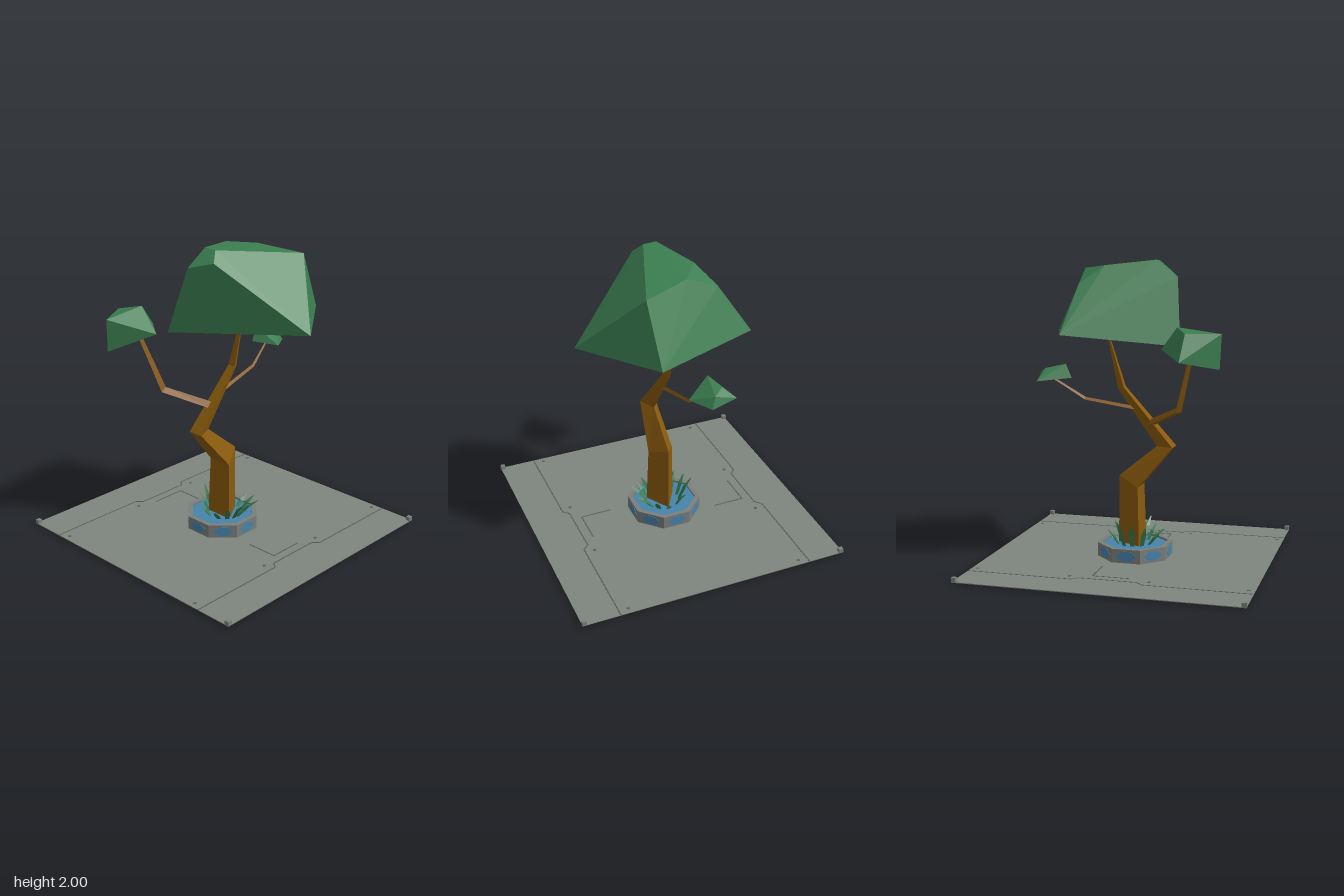
import * as THREE from 'three';
import { ConvexGeometry } from 'three/addons/geometries/ConvexGeometry.js';

const V = (x, y, z) => new THREE.Vector3(x, y, z);
const mat = (name, color) => {
  const m = new THREE.MeshStandardMaterial({ color, flatShading: true });
  m.name = name;
  return m;
};

// Closed skin over three-sided rings, each ordered counter-clockwise around the direction of travel
function loft(rings) {
  const pos = [], idx = [], last = (rings.length - 1) * 3;
  rings.forEach(r => r.forEach(p => pos.push(p.x, p.y, p.z)));
  for (let k = 0; k < last; k += 3) {
    for (let i = 0; i < 3; i++) {
      const j = (i + 1) % 3;
      idx.push(k + i, k + j, k + 3 + j, k + i, k + 3 + j, k + 3 + i);
    }
  }
  idx.push(0, 2, 1, last, last + 1, last + 2);
  const g = new THREE.BufferGeometry();
  g.setAttribute('position', new THREE.Float32BufferAttribute(pos, 3));
  g.setIndex(idx);
  const flat = g.toNonIndexed();
  flat.computeVertexNormals();
  return flat;
}

// Tapering three-sided limb along a path; flat squashes its thickness
function limb(points, radii, flat = 1) {
  return loft(points.map((p, k) => {
    const t = points[Math.min(k + 1, points.length - 1)].clone()
      .sub(points[Math.max(k - 1, 0)]).normalize();
    const side = V(t.z, 0, -t.x).normalize();
    const up = t.clone().cross(side);
    return [0, 1, 2].map(i => {
      const a = Math.PI / 2 + i * Math.PI * 2 / 3;
      return p.clone().addScaledVector(side, Math.cos(a) * radii[k])
        .addScaledVector(up, Math.sin(a) * radii[k] * flat);
    });
  }));
}

export function createModel() {
  const root = new THREE.Group();
  const leafGreen = mat('leaf green', 0x3a7d4f);
  const bark = mat('bark brown', 0x8a5a0c);
  const plateGrey = mat('plate grey', 0x7d867e);
  const stone = mat('planter grey', 0x7b7e7a);
  const blue = mat('water blue', 0x4683ab);
  const seamGrey = mat('seam grey', 0x5a625c);
  const add = (name, geo, material, parent = root) => {
    const m = new THREE.Mesh(geo, material);
    m.name = name;
    parent.add(m);
    return m;
  };
  const group = name => {
    const g = new THREE.Group();
    g.name = name;
    root.add(g);
    return g;
  };

  // Floor plate with corner blocks
  add('floorPlate', new THREE.BoxGeometry(1.86, 0.005, 1.86), plateGrey).position.y = 0.0105;
  const corners = group('cornerBlocks');
  for (const x of [-1, 1]) for (const z of [-1, 1])
    add('cornerBlock', new THREE.BoxGeometry(0.03, 0.03, 0.03), stone, corners)
      .position.set(x * 0.917, 0.025, z * 0.917);

  // Panel seams, brackets and screws, repeated by half a turn
  for (const turn of [0, Math.PI]) {
    const half = group('panelDetails');
    half.rotation.y = turn;
    const line = pts => {
      for (let i = 0; i + 1 < pts.length; i++) {
        const [x0, z0] = pts[i], [x1, z1] = pts[i + 1];
        const s = add('seam', new THREE.BoxGeometry(Math.hypot(x1 - x0, z1 - z0), 0.002, 0.009), seamGrey, half);
        s.position.set((x0 + x1) / 2, 0.0135, (z0 + z1) / 2);
        s.rotation.y = -Math.atan2(z1 - z0, x1 - x0);
      }
    };
    line([[-0.93, -0.675], [-0.23, -0.675], [-0.19, -0.635], [0.19, -0.635], [0.23, -0.675], [0.93, -0.675]]);
    line([[-0.12, -0.57], [0.12, -0.57], [0.12, -0.35]]);
    for (const x of [-0.89, -0.26, 0.26, 0.89])
      add('screw', new THREE.CylinderGeometry(0.012, 0.012, 0.003, 8), seamGrey, half)
        .position.set(x, 0.0135, -0.61);
  }

  // Octagonal planter rim with water inside
  const planter = group('planter');
  planter.position.set(-0.01, 0, -0.012);
  const octagon = apothem => Array.from({ length: 8 }, (_, i) => {
    const a = (i + 0.5) * Math.PI / 4, r = apothem / Math.cos(Math.PI / 8);
    return new THREE.Vector2(Math.cos(a) * r, Math.sin(a) * r);
  });
  const rim = new THREE.Shape(octagon(0.236));
  rim.holes.push(new THREE.Path(octagon(0.205).reverse()));
  const rimGeo = new THREE.ExtrudeGeometry(rim, { depth: 0.094, bevelEnabled: false });
  rimGeo.rotateX(-Math.PI / 2);
  add('planterRim', rimGeo, stone, planter).position.y = 0.012;
  const water = new THREE.ShapeGeometry(new THREE.Shape(octagon(0.206)));
  water.rotateX(-Math.PI / 2);
  add('water', water, blue, planter).position.y = 0.092;

  // Pointed panels on the planter's eight faces
  const panel = new THREE.Shape([[-0.072, 0], [-0.025, -0.034], [0.025, -0.034], [0.072, 0], [0.025, 0.034], [-0.025, 0.034]]
    .map(p => new THREE.Vector2(...p)));
  for (let i = 0; i < 8; i++) {
    const g = new THREE.ExtrudeGeometry(panel, { depth: 0.003, bevelEnabled: false });
    g.translate(0, 0.058, 0.235);
    g.rotateY(i * Math.PI / 4);
    add('planterPanel', g, blue, planter);
  }

  // Trunk: a ridge on the +x side and a flat back; rows are ridge x, y, back x, y, half width
  add('trunk', loft([
    [0.11, 0, -0.06, 0, 0.102],
    [0.104, 0.553, -0.046, 0.49, 0.088],
    [-0.155, 0.765, -0.275, 0.765, 0.056],
    [0.113, 1.14, 0.067, 1.157, 0.028],
    [0.187, 1.5, 0.175, 1.5, 0.008],
  ].map(([px, py, bx, by, w]) => [V(px, py, 0), V(bx, by, -w), V(bx, by, w)])), bark);

  // Branches
  add('rightBranch', limb([V(-0.1, 0.91, 0), V(-0.35, 1.04, -0.225), V(-0.46, 1.43, -0.33)],
    [0.028, 0.026, 0.015]), bark);
  add('leftBranch', limb([V(0.0, 1.015, 0), V(0.33, 1.075, -0.05), V(0.54, 1.215, -0.1)],
    [0.014, 0.012, 0.007]), bark);

  // Faceted leaf crowns
  const crown = (name, pts) => add(name, new ConvexGeometry(pts.map(p => V(...p))), leafGreen);
  crown('mainCrown', [
    [0.11, 1.5, 0.64], [0.62, 1.51, 0.26], [0.37, 1.53, -0.45], [-0.35, 1.45, -0.17],
    [0.44, 1.91, 0.29], [-0.22, 1.93, 0.12], [-0.3, 1.89, -0.03], [-0.155, 1.995, 0.07],
    [-0.155, 2.0, -0.02], [0.33, 1.945, -0.02], [0.16, 1.965, -0.14], [0.305, 1.85, -0.24],
  ]);
  crown('rightCrown', [
    [-0.655, 1.335, -0.41], [-0.665, 1.555, -0.4], [-0.44, 1.39, -0.6], [-0.28, 1.45, -0.39],
    [-0.43, 1.45, -0.19], [-0.38, 1.59, -0.38], [-0.46, 1.56, -0.52],
  ]);
  crown('leftCrown', [
    [0.4, 1.22, -0.12], [0.6, 1.205, -0.25], [0.65, 1.19, -0.06], [0.5, 1.2, 0.035],
    [0.44, 1.313, -0.12], [0.57, 1.285, -0.16], [0.62, 1.26, -0.09],
  ]);

  // Blades growing around the trunk: angle from +x towards +z in degrees, reach, tip height
  const plants = group('plants');
  [[5, 0.2, 0.16], [35, 0.21, 0.2], [62, 0.24, 0.21], [85, 0.2, 0.17], [105, 0.23, 0.23], [128, 0.19, 0.2],
    [155, 0.21, 0.18], [195, 0.2, 0.18], [230, 0.17, 0.23], [262, 0.17, 0.25], [290, 0.2, 0.27], [325, 0.19, 0.2],
  ].forEach(([deg, reach, top]) => {
    const a = deg * Math.PI / 180;
    const at = (r, y) => V(Math.cos(a) * r, y, Math.sin(a) * r);
    add('blade', limb([at(0.11, 0.085), at(0.11 + (reach - 0.11) * 0.5, 0.085 + (top - 0.085) * 0.6), at(reach, top)],
      [0.016, 0.022, 0.004], 0.5), leafGreen, plants);
  });

  return root;
}
